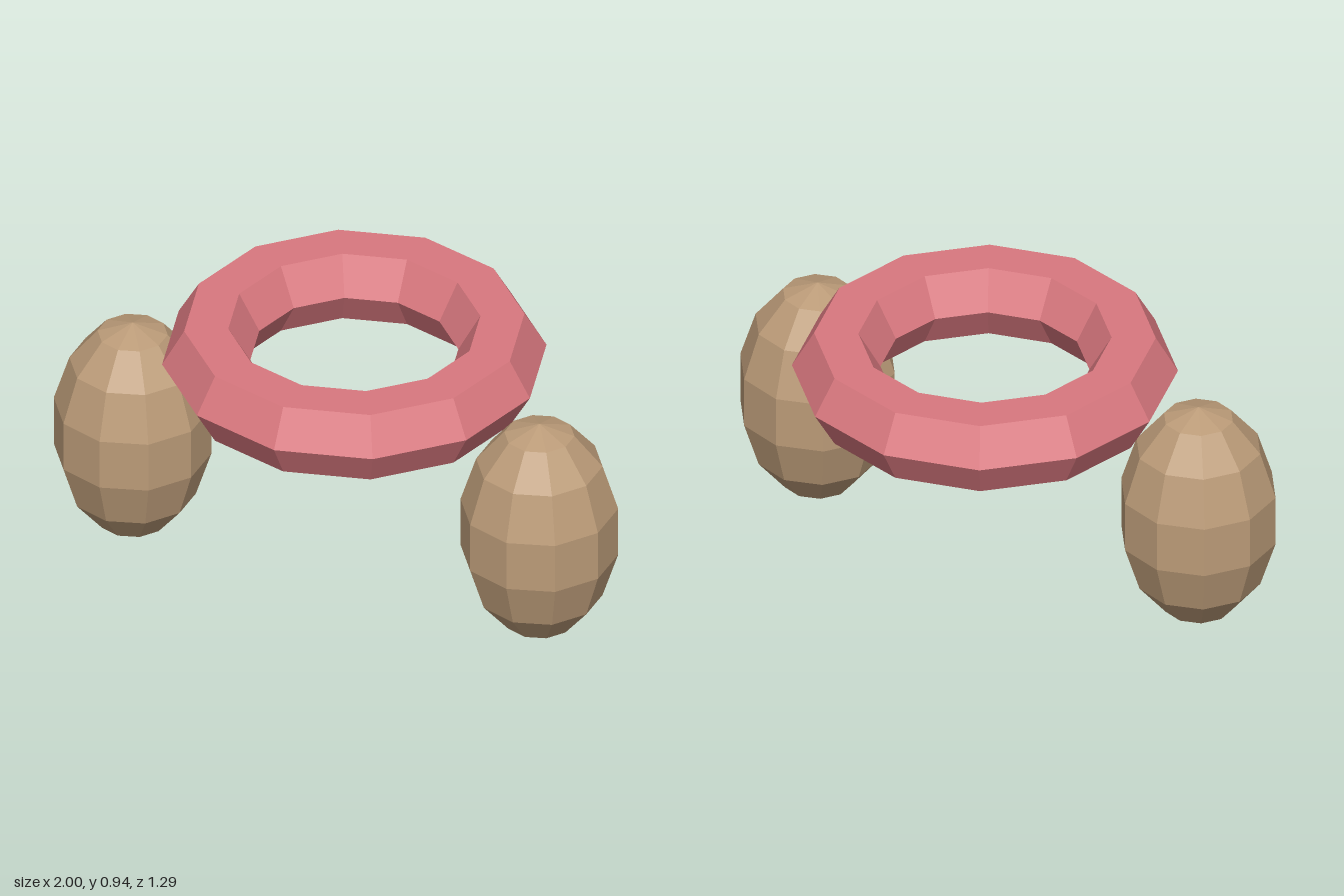
import * as THREE from 'three';

export function createModel() {
  const model = new THREE.Group();
  const rose = new THREE.MeshStandardMaterial({ color: 0xd9787f });
  const tan = new THREE.MeshStandardMaterial({ color: 0xbb9b78 });
  rose.name = 'rose';
  tan.name = 'tan';
  rose.flatShading = tan.flatShading = true;

  // Faceted ring lying flat
  const ringShape = new THREE.TorusGeometry(0.497, 0.148, 6, 12);
  ringShape.rotateX(-Math.PI / 2);
  const ring = new THREE.Mesh(ringShape, rose);
  ring.name = 'ring';
  ring.position.y = 0.81;
  model.add(ring);

  // Upright ten-sided pods, a flat side facing outward
  const podShape = new THREE.SphereGeometry(1, 10, 7);
  podShape.rotateY(Math.PI / 2);
  podShape.scale(0.272, 0.41, 0.272);
  for (const side of [-1, 1]) {
    const pod = new THREE.Mesh(podShape, tan);
    pod.name = side > 0 ? 'leftPod' : 'rightPod';
    pod.position.set(side * 0.747, 0.413, 0.147);
    model.add(pod);
  }
  return model;
}
